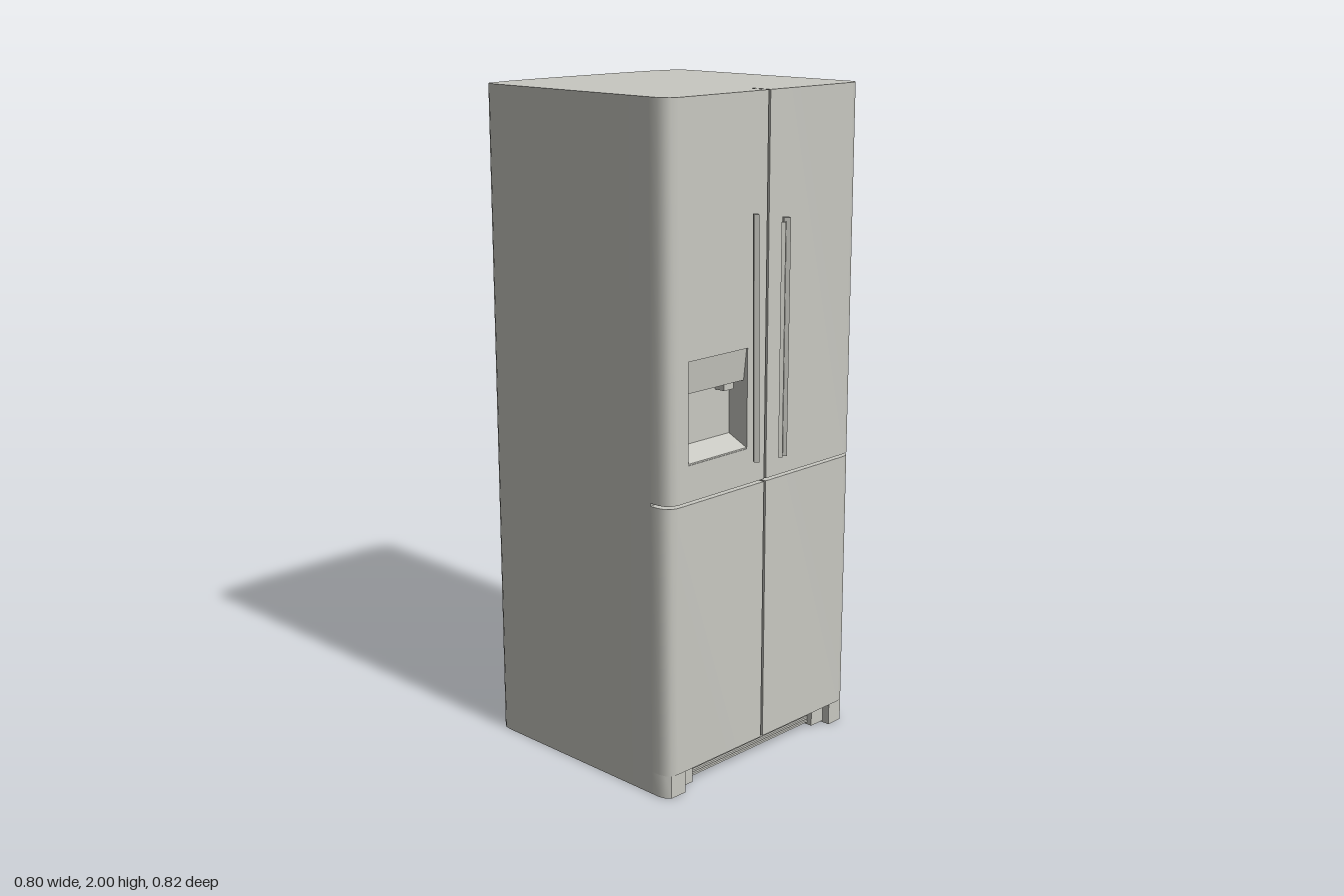
import * as THREE from 'three';
import { toCreasedNormals } from 'three/addons/utils/BufferGeometryUtils.js';

export function createModel() {
  const group = new THREE.Group();
  const shell = new THREE.MeshStandardMaterial({ color: 0xc8c8c1 });
  shell.name = 'warm grey enamel';

  const add = (name, geometry) => {
    const mesh = new THREE.Mesh(geometry, shell);
    mesh.name = name;
    group.add(mesh);
    return mesh;
  };
  const box = (name, x0, x1, y0, y1, z0, z1) =>
    add(name, new THREE.BoxGeometry(x1 - x0, y1 - y0, z1 - z0))
      .position.set((x0 + x1) / 2, (y0 + y1) / 2, (z0 + z1) / 2);

  // Extrude a floor plan of [x, z] points upward from y0 to y1
  const plan = (name, points, y0, y1) => {
    const shape = new THREE.Shape(points.map(([x, z]) => new THREE.Vector2(x, -z)));
    const g = new THREE.ExtrudeGeometry(shape, { depth: y1 - y0, bevelEnabled: false });
    g.rotateX(-Math.PI / 2);
    g.translate(0, y0, 0);
    return add(name, toCreasedNormals(g, 0.6));
  };

  const FRONT = 0.35, SEAM = 0.28, TOP = 2, KICK = 0.07, SPLIT = 0.88, GAP = 0.004;

  // Cabinet, with a slightly bowed back and softened rear corners
  const halfBack = [[0.4, SEAM], [0.4, -0.345], [0.397, -0.37], [0.387, -0.386], [0.3, -0.403], [0.15, -0.41]];
  const cabinet = [...halfBack, ...halfBack.map(([x, z]) => [-x, z]).reverse()];
  plan('cabinet', cabinet, 0, TOP);

  // Plan of a door front between inner and outer x, rounded on the outer side
  const doorPlan = (inner, side) => [
    [inner, SEAM], [inner, FRONT], [0.362, FRONT], [0.382, 0.344],
    [0.394, 0.331], [0.4, 0.31], [0.4, SEAM],
  ].map(([x, z]) => [x * side, z]);

  plan('lowerLeftDoor', doorPlan(GAP, 1), KICK, SPLIT - GAP);
  plan('lowerRightDoor', doorPlan(GAP, -1), KICK, SPLIT - GAP);
  plan('upperLeftDoor', doorPlan(GAP, 1), SPLIT + GAP, TOP);

  // Upper right door: rounded edge strip plus a panel pierced by the dispenser
  plan('upperRightDoorEdge', doorPlan(0.35, -1), SPLIT + GAP, TOP);
  const rect = (Type, x0, x1, y0, y1) => new Type([[x0, y0], [x1, y0], [x1, y1], [x0, y1]]
    .map(([x, y]) => new THREE.Vector2(x, y)));
  const panel = rect(THREE.Shape, -0.35, -GAP, SPLIT + GAP, TOP);
  panel.holes.push(rect(THREE.Path, -0.32, -0.08, 0.99, 1.285));
  const panelGeometry = new THREE.ExtrudeGeometry(panel, { depth: FRONT - SEAM, bevelEnabled: false });
  add('upperRightDoorPanel', panelGeometry.translate(0, 0, SEAM));

  // Extrude a [z, y] side profile across x
  const sideProfile = (name, points, x0, x1) => {
    const shape = new THREE.Shape(points.map(([z, y]) => new THREE.Vector2(-z, y)));
    const g = new THREE.ExtrudeGeometry(shape, { depth: x1 - x0, bevelEnabled: false });
    g.rotateY(Math.PI / 2);
    g.rotateY(0);
    // depth now runs along +x and shape x along -z
    g.translate(x0, 0, 0);
    return add(name, g);
  };
  sideProfile('dispenserControlPanel', [[SEAM, 1.19], [0.335, 1.19], [0.346, 1.285], [SEAM, 1.285]], -0.32, -0.08);
  sideProfile('dispenserTray', [[SEAM, 0.99], [0.348, 0.99], [0.348, 0.994], [SEAM, 1.025]], -0.32, -0.08);
  box('dispenserSpout', -0.14, -0.1, 1.165, 1.19, SEAM, 0.315);

  // Kick area: two feet with a recessed slatted grille between
  for (const side of [-1, 1]) {
    const name = side > 0 ? 'leftFoot' : 'rightFoot';
    plan(name, doorPlan(0.325, side).map(([x, z]) => [x, Math.min(z, 0.345)]), 0, KICK);
    box(name + 'Bracket', Math.min(side * 0.27, side * 0.325), Math.max(side * 0.27, side * 0.325), 0.005, KICK, SEAM, 0.32);
  }
  for (let i = 0; i < 5; i++) {
    const y = 0.014 + i * 0.011;
    box('grilleSlat', -0.27, 0.27, y, y + 0.006, SEAM, 0.305);
  }

  // Slim faceted handle bar between two points
  const bar = (name, a, b, width, depth) => {
    const start = new THREE.Vector3(...a), end = new THREE.Vector3(...b);
    const g = new THREE.CylinderGeometry(0.5, 0.5, start.distanceTo(end), 4).toNonIndexed();
    g.scale(width, 1, depth);
    g.computeVertexNormals();
    const mesh = add(name, g);
    mesh.position.copy(start).add(end).multiplyScalar(0.5);
    mesh.quaternion.setFromUnitVectors(new THREE.Vector3(0, 1, 0), end.sub(start).normalize());
  };
  bar('rightHandle', [-0.083, 0.96, 0.389], [-0.093, 1.67, 0.388], 0.018, 0.025);
  bar('leftHandle', [0.024, 0.96, 0.396], [0.025, 1.65, 0.397], 0.022, 0.032);
  bar('leftHandleTrim', [0.004, 0.96, 0.405], [0.004, 1.64, 0.405], 0.02, 0.014);

  return group;
}
